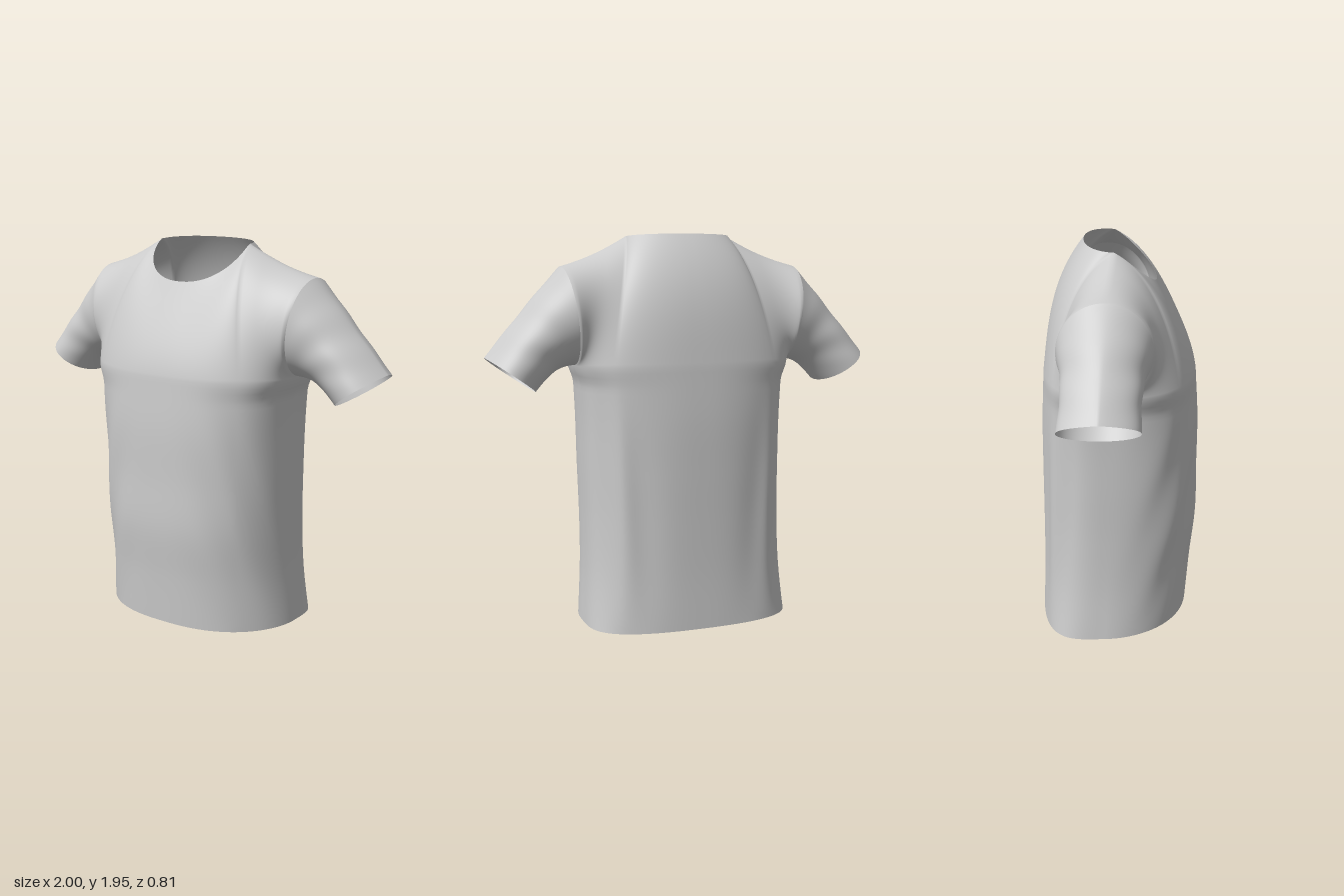
import * as THREE from 'three';
import { mergeGeometries, mergeVertices } from 'three/addons/utils/BufferGeometryUtils.js';

const V = (x, y, z) => new THREE.Vector3(x, y, z);
const ZC = -0.06;      // depth of the side seams
const CHEST = 1.31;    // armpit height
const pow = (a, p) => Math.pow(Math.max(a, 0), p);

// Surface grid from a rule f(u, v) -> Vector3, with u and v in 0..1
function grid(nu, nv, f, flip) {
  const pos = [], idx = [];
  for (let j = 0; j <= nv; j++)
    for (let i = 0; i <= nu; i++) pos.push(...f(i / nu, j / nv).toArray());
  for (let j = 0; j < nv; j++)
    for (let i = 0; i < nu; i++) {
      const a = j * (nu + 1) + i, b = a + 1, c = a + nu + 1, d = c + 1;
      if (flip) idx.push(a, d, b, a, c, d);
      else idx.push(a, b, d, a, d, c);
    }
  const g = new THREE.BufferGeometry();
  g.setAttribute('position', new THREE.Float32BufferAttribute(pos, 3));
  g.setIndex(idx);
  return g;
}

// Torso profile from hem to armpit: half width, front depth, back depth
const profile = new THREE.CatmullRomCurve3([
  V(0.535, 0.36, -0.4), V(0.518, 0.38, -0.392), V(0.514, 0.405, -0.39),
  V(0.517, 0.404, -0.39), V(0.52, 0.404, -0.388), V(0.53, 0.388, -0.376),
], false, 'catmullrom');

// Half ring of the torso; q runs -1..1 across, side is 1 front or -1 back
function torso(q, v, side) {
  const p = profile.getPoint(v), s = Math.abs(q), a = (1 - s) * Math.PI / 2;
  const depth = side > 0 ? p.y - ZC : ZC - p.z;
  const width = p.x + 0.025 * THREE.MathUtils.smoothstep(v, 0.92, 1);
  // the hem is rounder in front and squarer behind
  const square = side > 0 ? 1.05 - 0.37 * v : 0.5 + 0.9 * v - 0.75 * v * v;
  const x = Math.sign(q) * width * pow(Math.cos(a), 0.8);
  let z = ZC + side * depth * pow(Math.sin(a), square);
  // soft draped folds, fading to the seams, the hem and the chest
  const fade = (1 - q * q) * Math.min(1, 4 * q * q) * pow(Math.sin(Math.PI * v), 0.8);
  const fold = side > 0
    ? Math.sin(s * 16 + v * 12) * 0.01
    : Math.cos(q * 13) * 0.014 + Math.sin(s * 20 - v * 4) * 0.005;
  z += side * fold * fade;
  return V(x, v * CHEST + (1 - v) * (0.014 + 0.034 * z), z);
}

// Armhole loop: 0 at the armpit, +PI/2 front, PI shoulder, -PI/2 back
const armhole = (phi) => V(
  0.585 - 0.03 * Math.cos(phi),
  1.55 - 0.24 * Math.cos(phi),
  ZC + 0.222 * Math.sin(phi));

// Neckline and shoulder seam, from the centre (s = 0) to the armhole (s = 1)
function topEdge(s, side) {
  const a = (1 - Math.min(s / 0.5, 1)) * Math.PI / 2;
  const neck = V(
    0.267 * pow(Math.cos(a), 0.9),
    1.936 + (side > 0 ? -0.181 : 0.012) * Math.sin(a),
    -0.02 + (side > 0 ? 0.21 : -0.15) * pow(Math.sin(a), 0.85));
  if (s <= 0.5) return neck;
  const t = (s - 0.5) / 0.5;
  neck.lerp(armhole(Math.PI), t);
  neck.y -= 0.014 * Math.sin(Math.PI * t);
  return neck;
}

// Chest and shoulder panel between the armholes
function yoke(q, v, side) {
  const s = Math.abs(q);
  const base = torso(s, 1, side), top = topEdge(s, side);
  const p = base.clone().lerp(top, v);
  const inside = 1 - s * s * s;
  const shoulder = THREE.MathUtils.smoothstep(s, 0.05, 0.65);
  const early = 0.65 * v * (1 - v) * (1 - v), late = v * v * (1 - v);
  p.x += inside * (base.x - top.x) * early;
  p.z += inside * ((base.z - top.z) * early + side * late * (side > 0 ? 0.04 + 0.22 * shoulder : 0.3));
  p.y += inside * 0.38 * shoulder * late;
  // follow the armhole curve toward the sides
  const bend = armhole(side * Math.PI * v).sub(armhole(0).lerp(armhole(Math.PI), v));
  p.addScaledVector(bend, Math.pow(s, 3.4));
  p.x *= Math.sign(q);
  return p;
}

// Short sleeve from the armhole loop to the slanted cuff
function sleeve(u, t) {
  const phi = u * Math.PI * 2, c = Math.cos(phi), n = Math.sin(phi);
  const under = (1 + c) / 2, swell = Math.sin(Math.PI * t);
  // narrower along the top of the arm than underneath
  const f = Math.sign(n) * pow(Math.abs(n), 1 + 0.5 * Math.max(-c, 0));
  const cuff = V(0.88 - 0.12 * c, 1.275 - 0.085 * c, -0.085 + 0.19 * f);
  const p = armhole(phi).lerp(cuff, t);
  p.y += swell * (0.008 + 0.026 * under);
  p.z -= 0.02 * swell * n;
  // creases running around the arm
  const crease = 0.005 * swell * (1 - under) * Math.sin(t * 15 + c * 4);
  p.z += crease * n;
  p.y -= crease * c * 0.5;
  return p;
}

export function createModel() {
  const shirt = new THREE.Group();
  shirt.name = 'tShirt';
  const cloth = new THREE.MeshStandardMaterial({ color: 0xcccccc, side: THREE.DoubleSide });

  const add = (name, parts) => {
    const g = mergeVertices(mergeGeometries(parts), 1e-4);
    g.computeVertexNormals();
    const mesh = new THREE.Mesh(g, cloth);
    mesh.name = name;
    shirt.add(mesh);
  };

  // Body: front and back panels, sewn at the sides and shoulders
  const panels = [];
  for (const side of [1, -1]) {
    panels.push(grid(96, 50, (u, v) => torso(u * 2 - 1, v, side), side < 0));
    panels.push(grid(96, 32, (u, v) => yoke(u * 2 - 1, v, side), side < 0));
  }
  add('body', panels);

  // Sleeves, mirrored
  for (const [name, m] of [['leftSleeve', 1], ['rightSleeve', -1]])
    add(name, [grid(64, 28, (u, t) => sleeve(u, t).multiply(V(m, 1, 1)), m > 0)]);

  return shirt;
}
